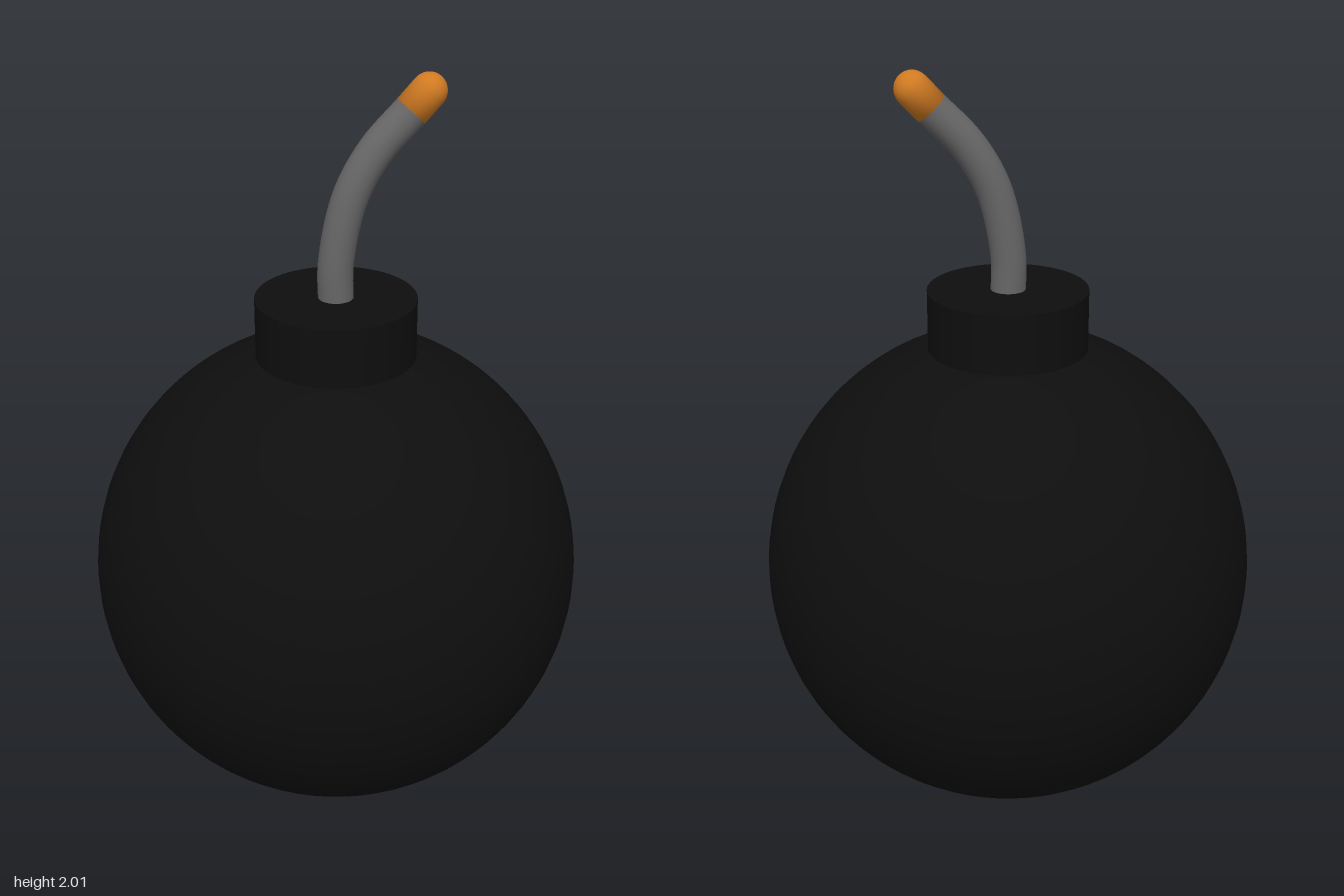
import * as THREE from 'three';

const mat = (color) => new THREE.MeshStandardMaterial({ color });

export function createModel() {
  const model = new THREE.Group();
  const black = mat(0x0e0e0e);
  const add = (name, geometry, material, x = 0, y = 0) => {
    const mesh = new THREE.Mesh(geometry, material);
    mesh.name = name;
    mesh.position.set(x, y, 0);
    model.add(mesh);
    return mesh;
  };

  // Round body and the short collar on top
  add('body', new THREE.SphereGeometry(0.66, 64, 48), black, 0, 0.66);
  add('collar', new THREE.CylinderGeometry(0.21, 0.21, 0.2, 64), black, 0, 1.345);

  // Fuse rising from the collar and bending to the left
  const r = 0.046;
  const path = new THREE.CatmullRomCurve3(
    [[0, 1.42], [0, 1.54], [0.037, 1.71], [0.1, 1.822], [0.19, 1.917]]
      .map(([x, y]) => new THREE.Vector3(x, y, 0)));
  add('fuse', new THREE.TubeGeometry(path, 40, r, 24), mat(0x666666));

  // Burning tip: short cylinder with a rounded end, aligned with the fuse
  const length = 0.065;
  const profile = [new THREE.Vector2(0, 0), new THREE.Vector2(r, 0)];
  for (let i = 0; i <= 10; i++) {
    const a = (i / 10) * Math.PI / 2;
    profile.push(new THREE.Vector2(r * Math.cos(a), length + r * Math.sin(a)));
  }
  const tip = add('fuseTip', new THREE.LatheGeometry(profile, 24), mat(0xd07a22), 0.19, 1.917);
  tip.quaternion.setFromUnitVectors(new THREE.Vector3(0, 1, 0), path.getTangent(1));

  return model;
}
